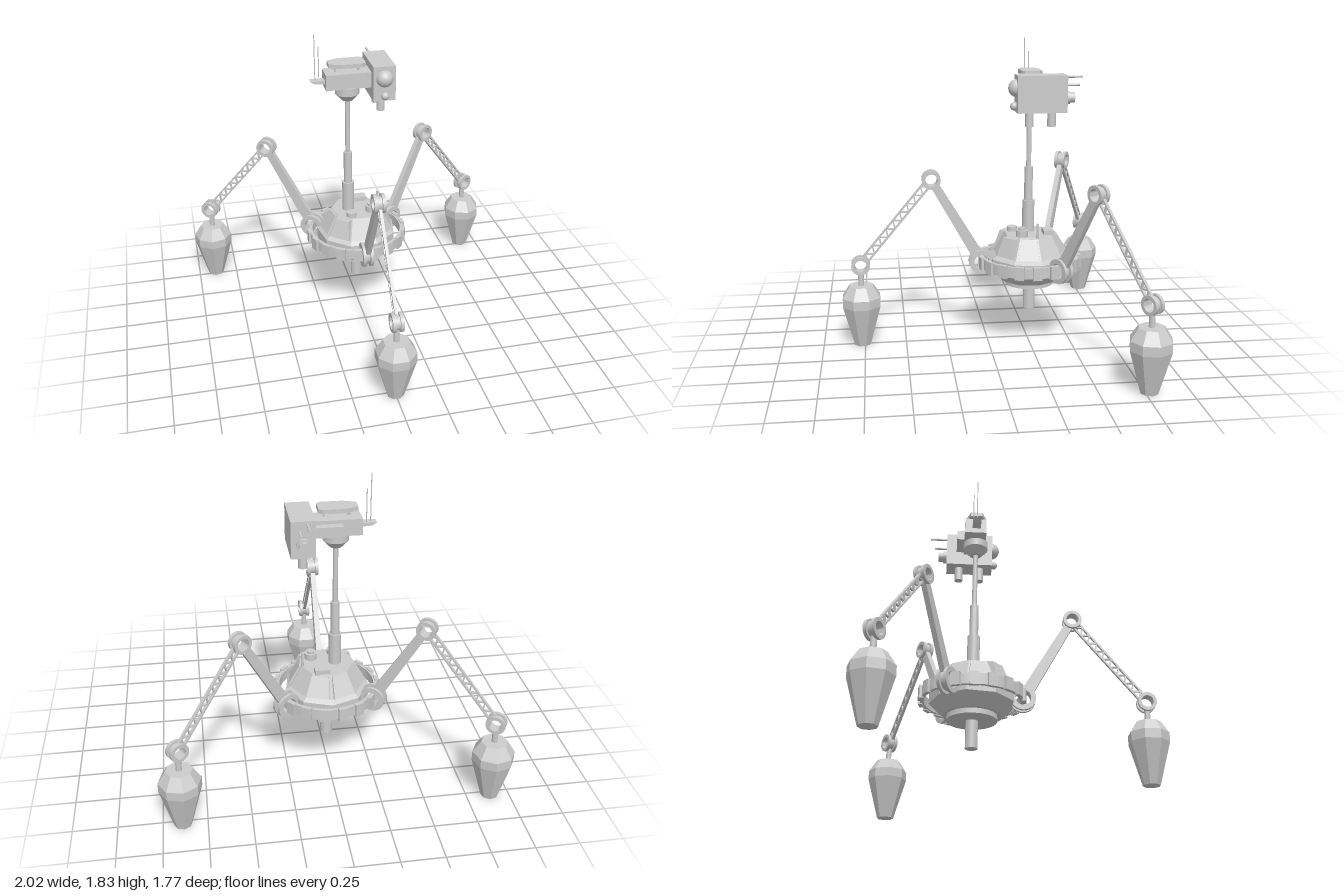
import * as THREE from 'three';
import { toCreasedNormals } from 'three/addons/utils/BufferGeometryUtils.js';

const flat = new THREE.MeshStandardMaterial({ color: 0xcccccc, flatShading: true });
const smooth = new THREE.MeshStandardMaterial({ color: 0xcccccc });

function add(parent, name, geo, x = 0, y = 0, z = 0, mat = flat) {
  const m = new THREE.Mesh(geo, mat);
  m.name = name;
  m.position.set(x, y, z);
  parent.add(m);
  return m;
}
const box = (p, n, w, h, d, x, y, z) => add(p, n, new THREE.BoxGeometry(w, h, d), x, y, z);

// upright cylinder given by its bottom and top heights
function post(p, n, r, y0, y1, x, z, rTop = r) {
  const g = toCreasedNormals(new THREE.CylinderGeometry(rTop, r, y1 - y0, 20), 0.6);
  return add(p, n, g, x, (y0 + y1) / 2, z, smooth);
}
// cylinder along z
function rod(p, n, r, z0, z1, x, y) {
  const g = toCreasedNormals(new THREE.CylinderGeometry(r, r, Math.abs(z1 - z0), 16).rotateX(Math.PI / 2), 0.6);
  return add(p, n, g, x, y, (z0 + z1) / 2, smooth);
}
// faceted solid with a flat side facing +z; profile radii are measured to the flats
function faceted(p, n, profile, sides, x, y, z) {
  const k = 1 / Math.cos(Math.PI / sides);
  const pts = profile.map(([r, h]) => new THREE.Vector2(r * k, h));
  return add(p, n, new THREE.LatheGeometry(pts, sides, Math.PI / sides), x, y, z);
}
// flanged hollow joint with its axis along x
function spool(p, n, y, z, ro, ri, hw) {
  const rm = ri + (ro - ri) * 0.4, f = hw * 0.4;
  const pts = [[ri, -hw], [ro, -hw], [ro, -f], [rm, -f], [rm, f], [ro, f], [ro, hw], [ri, hw], [ri, -hw]]
    .map(a => new THREE.Vector2(...a));
  const g = toCreasedNormals(new THREE.LatheGeometry(pts, 24).rotateZ(Math.PI / 2), 0.6);
  return add(p, n, g, 0, y, z, smooth);
}
// bar between two [z, y] points, in-plane width w0 to w1, thickness t across x
function bar(p, n, a, b, w0, w1, t) {
  const dz = b[0] - a[0], dy = b[1] - a[1], len = Math.hypot(dz, dy);
  const g = new THREE.BoxGeometry(t, len, 1), pos = g.attributes.position;
  for (let i = 0; i < pos.count; i++) pos.setZ(i, pos.getZ(i) * (pos.getY(i) < 0 ? w0 : w1));
  const m = add(p, n, g, 0, (a[1] + b[1]) / 2, (a[0] + b[0]) / 2);
  m.rotation.x = Math.atan2(dz, dy);
  return m;
}

function makeLeg() {
  const leg = new THREE.Group();
  leg.name = 'leg';
  const hip = [0.295, 0.5], knee = [0.595, 1.015], ankle = [1.025, 0.5];
  spool(leg, 'hipJoint', hip[1], hip[0], 0.075, 0.046, 0.032);
  spool(leg, 'kneeJoint', knee[1], knee[0], 0.056, 0.036, 0.034);
  spool(leg, 'ankleJoint', ankle[1], ankle[0], 0.056, 0.036, 0.032);
  const lerp = (a, b, t, off = 0) => {
    const dz = b[0] - a[0], dy = b[1] - a[1], l = Math.hypot(dz, dy);
    return [a[0] + dz * t - dy / l * off, a[1] + dy * t + dz / l * off];
  };
  bar(leg, 'upperLeg', lerp(hip, knee, 0.09), lerp(hip, knee, 0.93), 0.068, 0.05, 0.032);

  // lattice lower leg: two rails and zigzag braces
  const t0 = 0.06, t1 = 0.94, half = 0.021, n = 18;
  for (const s of [-1, 1])
    bar(leg, 'latticeRail', lerp(knee, ankle, t0, s * half), lerp(knee, ankle, t1, s * half), 0.01, 0.01, 0.018);
  for (let i = 0; i < n; i++) {
    const s = i % 2 ? 1 : -1, st = (t1 - t0) / n;
    bar(leg, 'latticeBrace', lerp(knee, ankle, t0 + i * st, s * half),
      lerp(knee, ankle, t0 + (i + 1) * st, -s * half), 0.008, 0.008, 0.014);
  }

  // hanging foot
  post(leg, 'ankleStem', 0.017, 0.36, 0.46, 0, ankle[0]);
  faceted(leg, 'foot', [[0, 0], [0.047, 0], [0.112, 0.25], [0.112, 0.305], [0.07, 0.375], [0, 0.375]], 8, 0, 0, ankle[0]);
  return leg;
}

function makeBody() {
  const body = new THREE.Group();
  body.name = 'body';
  faceted(body, 'hull', [[0, 0.385], [0.165, 0.385], [0.235, 0.455], [0.235, 0.53], [0.21, 0.55], [0.145, 0.672], [0, 0.672]], 9, 0, 0, 0);
  post(body, 'bottomDisc', 0.148, 0.355, 0.39, 0, 0);
  post(body, 'bottomProbe', 0.036, 0.19, 0.36, 0, 0);

  // raised hull panels: the front pair stands out more than the rest
  for (const [deg, out] of [[40, 0.04], [80, 0.014], [160, 0.012]]) {
    for (const s of [-1, 1]) {
      const g = new THREE.BoxGeometry(1, 1, 1), pos = g.attributes.position;
      for (let i = 0; i < pos.count; i++) {
        const top = pos.getY(i) > 0, outer = pos.getZ(i) > 0;
        const z = (top ? 0.145 : 0.208) + (outer ? (top ? out : 0.014) : -0.03);
        pos.setXYZ(i, pos.getX(i) * (top ? 0.09 : 0.13), top ? 0.668 : 0.556, z);
      }
      add(body, 'hullPanel', g).rotation.y = s * deg * Math.PI / 180;
    }
  }

  // toothed ring threaded through the hip joints
  const ring = [[0.28, 0.468], [0.3, 0.468], [0.3, 0.532], [0.28, 0.532], [0.28, 0.468]].map(a => new THREE.Vector2(...a));
  add(body, 'beltRing', toCreasedNormals(new THREE.LatheGeometry(ring, 54), 0.6), 0, 0, 0, smooth);
  for (let i = 0; i < 18; i++) {
    const a = (i + 0.5) * Math.PI / 9;
    box(body, 'beltTooth', 0.055, 0.078, 0.024, 0.301 * Math.sin(a), 0.5, 0.301 * Math.cos(a)).rotation.y = a;
  }

  // fittings on the deck
  post(body, 'deckCap', 0.032, 0.665, 0.7, -0.05, 0.1);
  post(body, 'deckCap', 0.036, 0.665, 0.71, 0.085, 0.06);
  post(body, 'deckCap', 0.022, 0.665, 0.725, 0.085, 0.06);
  post(body, 'deckPin', 0.008, 0.6, 0.76, 0.145, -0.025);
  box(body, 'deckBox', 0.09, 0.04, 0.06, 0.04, 0.68, -0.105);

  // telescopic mast
  post(body, 'mastBase', 0.037, 0.66, 0.865, -0.05, 0);
  post(body, 'mastMiddle', 0.026, 0.86, 1.07, -0.05, 0);
  post(body, 'mastTop', 0.015, 1.06, 1.43, -0.05, 0);
  return body;
}

function makeHead() {
  const head = new THREE.Group();
  head.name = 'head';
  post(head, 'neckCone', 0.035, 1.415, 1.457, -0.05, 0, 0.074);
  post(head, 'neckCollar', 0.074, 1.457, 1.505, -0.05, 0);
  box(head, 'headArm', 0.275, 0.095, 0.13, -0.05, 1.548, -0.005);
  box(head, 'rearBlock', 0.16, 0.06, 0.05, 0.005, 1.545, -0.09);

  // roof plate with tapered ends on two posts
  const outline = [[-0.166, -0.035], [-0.09, -0.062], [0.03, -0.062], [0.053, -0.045],
    [0.053, 0.045], [0.03, 0.062], [-0.09, 0.062], [-0.166, 0.035]].map(a => new THREE.Vector2(...a));
  const plate = new THREE.ExtrudeGeometry(new THREE.Shape(outline), { depth: 0.024, bevelEnabled: false }).rotateX(-Math.PI / 2);
  add(head, 'roofPlate', plate, 0, 1.631, 0);
  for (const x of [-0.122, 0.018]) post(head, 'platePost', 0.007, 1.59, 1.635, x, 0);

  // side fin and aerials
  const fin = [[-0.185, 1.53], [-0.185, 1.552], [-0.275, 1.552], [-0.25, 1.535]].map(a => new THREE.Vector2(...a));
  add(head, 'sideFin', new THREE.ExtrudeGeometry(new THREE.Shape(fin), { depth: 0.05, bevelEnabled: false }), 0, 0, -0.025);
  post(head, 'aerial', 0.0028, 1.545, 1.828, -0.243, 0);
  post(head, 'aerial', 0.0028, 1.545, 1.748, -0.216, -0.02);

  // camera housing with lenses, lower posts and rear fittings
  box(head, 'cameraHousing', 0.135, 0.213, 0.287, 0.152, 1.536, -0.033);
  const lens = (n, r, y, z) => add(head, n, new THREE.SphereGeometry(r, 24, 16), 0.152, y, z, smooth);
  lens('mainLens', 0.052, 1.568, 0.105);
  lens('smallLens', 0.024, 1.464, 0.122);
  for (const z of [0.032, -0.098]) post(head, 'lowerPost', 0.025, 1.343, 1.44, 0.147, z);
  rod(head, 'rearRod', 0.007, -0.17, -0.28, 0.13, 1.627);
  rod(head, 'rearRod', 0.007, -0.17, -0.255, 0.172, 1.585);
  rod(head, 'rearKnob', 0.03, -0.17, -0.228, 0.152, 1.51);
  rod(head, 'rearKnobCollar', 0.038, -0.17, -0.2, 0.152, 1.51);
  return head;
}

export function createModel() {
  const model = new THREE.Group();
  model.name = 'tripodWalker';
  const core = new THREE.Group();
  core.name = 'walker';
  core.position.z = -0.26;
  core.add(makeBody(), makeHead());
  for (let i = 0; i < 3; i++) {
    const leg = makeLeg();
    leg.rotation.y = i * Math.PI * 2 / 3;
    core.add(leg);
  }
  model.add(core);
  return model;
}
